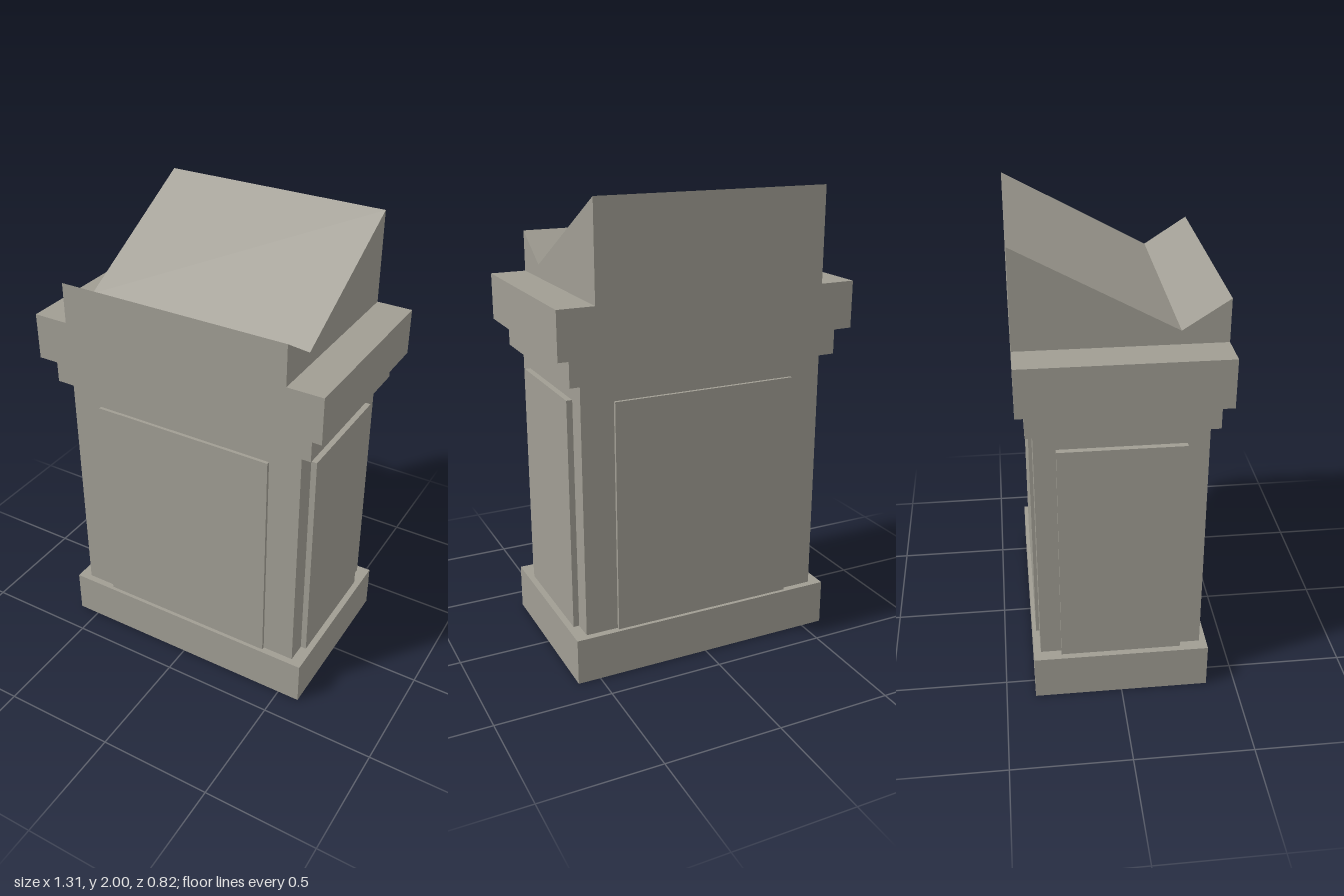
import * as THREE from 'three';

export function createModel() {
  const model = new THREE.Group();
  model.name = 'lectern';
  const stone = new THREE.MeshStandardMaterial({ color: 0xa09d93 });
  stone.name = 'warm grey stone';

  const add = (name, geometry) => {
    const mesh = new THREE.Mesh(geometry, stone);
    mesh.name = name;
    model.add(mesh);
    return mesh;
  };

  // Block given by its width, depth, bottom and top
  const block = (name, width, depth, bottom, top, x = 0, z = 0) =>
    add(name, new THREE.BoxGeometry(width, top - bottom, depth))
      .position.set(x, (bottom + top) / 2, z);

  // Stacked plinth, shaft and mouldings
  block('plinth', 1.195, 0.75, 0, 0.2);
  block('shaft', 1.09, 0.69, 0.2, 1.285);
  block('lowerCornice', 1.195, 0.75, 1.285, 1.4);
  block('upperCornice', 1.308, 0.82, 1.4, 1.6);

  // Raised panels on all four faces of the shaft
  for (const s of [1, -1]) {
    block(s > 0 ? 'frontPanel' : 'backPanel', 0.81, 0.03, 0.2, 1.2, 0, s * 0.344);
    block(s > 0 ? 'leftPanel' : 'rightPanel', 0.04, 0.514, 0.2, 1.2, s * 0.55, 0);
  }

  // Sloped reading desk with a raised front lip, extruded across the width
  const profile = new THREE.Shape([
    [-0.41, 1.6], [0.41, 1.6], [0.41, 1.775], [0.225, 1.655], [-0.41, 2],
  ].map(([z, y]) => new THREE.Vector2(z, y)));
  const desk = new THREE.ExtrudeGeometry(profile, { depth: 1, bevelEnabled: false });
  desk.translate(0, 0, -0.5).rotateY(-Math.PI / 2);
  add('readingDesk', desk);

  return model;
}
